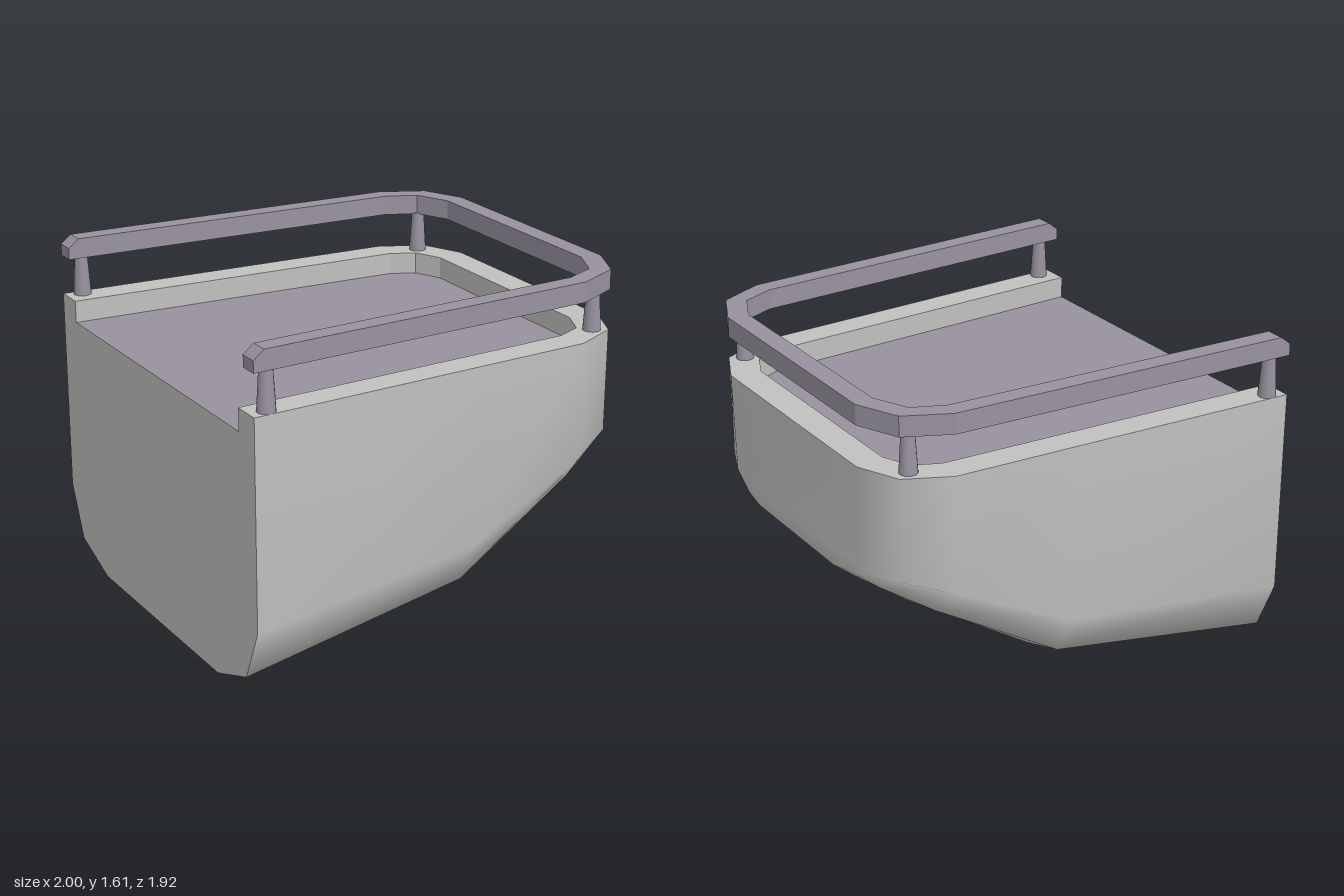
import * as THREE from 'three';

const hullGrey = new THREE.MeshStandardMaterial({ name: 'hullGrey', color: 0xc0c0be });
const deckGrey = new THREE.MeshStandardMaterial({ name: 'deckGrey', color: 0x98929f });

// Skin a grid of points: rows run along the part, columns across it
function loft(rows, smooth = false) {
  const n = rows[0].length;
  const index = [];
  for (let i = 0; i < rows.length - 1; i++) {
    for (let j = 0; j < n - 1; j++) {
      const a = i * n + j, b = a + n;
      index.push(a, b, b + 1, a, b + 1, a + 1);
    }
  }
  let geo = new THREE.BufferGeometry();
  geo.setAttribute('position', new THREE.Float32BufferAttribute(rows.flat(2), 3));
  geo.setIndex(index);
  if (!smooth) geo = geo.toNonIndexed();
  geo.computeVertexNormals();
  return geo;
}

const flip = ([x, y, z]) => [x, y, -z];
// Continue left-side stations round the transom to the right side
const bothSides = (rows) => [...rows, ...[...rows].reverse().map((r) => r.map(flip))];

const TOP = 1.325, DECK = 1.22, RAIL_LOW = 1.515, RAIL_TOP = 1.61;

// Hull stations from the cut end to the transom: bottom, chine, low side, top
const stations = [
  [[-1, 0, 0.58], [-1, 0.1, 0.85], [-1, 0.35, 0.96], [-1, TOP, 0.96]],
  [[0.12, 0.2, 0.56], [0.12, 0.28, 0.8], [0.12, 0.48, 0.905], [0.12, TOP, 0.907]],
  [[0.75, 0.6, 0.53], [0.73, 0.64, 0.75], [0.7, 0.77, 0.875], [0.7, TOP, 0.88]],
  [[0.92, 0.71, 0.45], [0.92, 0.745, 0.62], [0.91, 0.84, 0.775], [0.91, TOP, 0.78]],
  [[1, 0.76, 0.35], [1, 0.785, 0.45], [1, 0.86, 0.56], [1, TOP, 0.58]],
];

// Plan outlines [x, z]
const outer = [[-1, 0.96], [-0.95, 0.958], [0.7, 0.88], [0.91, 0.78], [1, 0.58]];
const inner = [[-1, 0.82], [-0.95, 0.818], [0.68, 0.74], [0.8, 0.685], [0.86, 0.55]];
const railInner = [[-1, 0.87], [-0.95, 0.868], [0.68, 0.79], [0.83, 0.725], [0.905, 0.56]];

export function createModel() {
  const model = new THREE.Group();
  model.name = 'shipStern';
  const add = (name, geo, mat, parent = model) => {
    const mesh = new THREE.Mesh(geo, mat);
    mesh.name = name;
    parent.add(mesh);
    return mesh;
  };

  // Smooth sides and transom, with a crisp flat bottom
  add('hullSides', loft(bothSides(stations), true), hullGrey);
  add('hullBottom', loft(stations.map((s) => [flip(s[0]), s[0]])), hullGrey);

  // Flat cut end, with the bulwark standing above the deck on each side
  const endRows = [...stations[0].slice(0, 3), [-1, DECK, 0.96]];
  add('hullEnd', loft(endRows.map((p) => [p, flip(p)])), hullGrey);
  for (const [name, z0, z1] of [['leftBulwarkEnd', 0.96, 0.82], ['rightBulwarkEnd', -0.82, -0.96]]) {
    add(name, loft([DECK, TOP].map((y) => [[-1, y, z0], [-1, y, z1]])), hullGrey);
  }

  // Bulwark cap and inner wall
  add('bulwarkTop', loft(bothSides(outer.map(([x, z], i) =>
    [[x, TOP, z], [inner[i][0], TOP, inner[i][1]]]))), hullGrey);
  add('bulwarkInside', loft(bothSides(inner.map(([x, z]) =>
    [[x, TOP, z], [x, DECK, z]]))), hullGrey);

  add('deck', loft(inner.map(([x, z]) => [[x, DECK, z], [x, DECK, -z]])), deckGrey);

  // Handrail: rectangular section swept round the stern, top chamfered at the ends
  const railing = new THREE.Group();
  railing.name = 'railing';
  model.add(railing);
  const railRows = outer.map(([x, z], i) => {
    const [xi, zi] = railInner[i];
    const top = i === 0 ? 1.57 : RAIL_TOP;
    return [[x, RAIL_LOW, z], [x, top, z], [xi, top, zi], [xi, RAIL_LOW, zi], [x, RAIL_LOW, z]];
  });
  add('handrail', loft(bothSides(railRows)), deckGrey, railing);
  const [ob, ot, it, ib] = railRows[0];
  add('leftRailEnd', loft([[ob, ib], [ot, it]]), deckGrey, railing);
  add('rightRailEnd', loft([[flip(ib), flip(ob)], [flip(it), flip(ot)]]), deckGrey, railing);

  // Tapered posts
  const height = RAIL_LOW - TOP + 0.005;
  const postGeo = new THREE.CylinderGeometry(0.03, 0.042, height, 16);
  for (const [x, z] of [[-0.92, 0.915], [0.845, 0.74]]) {
    for (const side of [1, -1]) {
      add('railPost', postGeo, deckGrey, railing).position.set(x, TOP + height / 2, z * side);
    }
  }
  return model;
}
